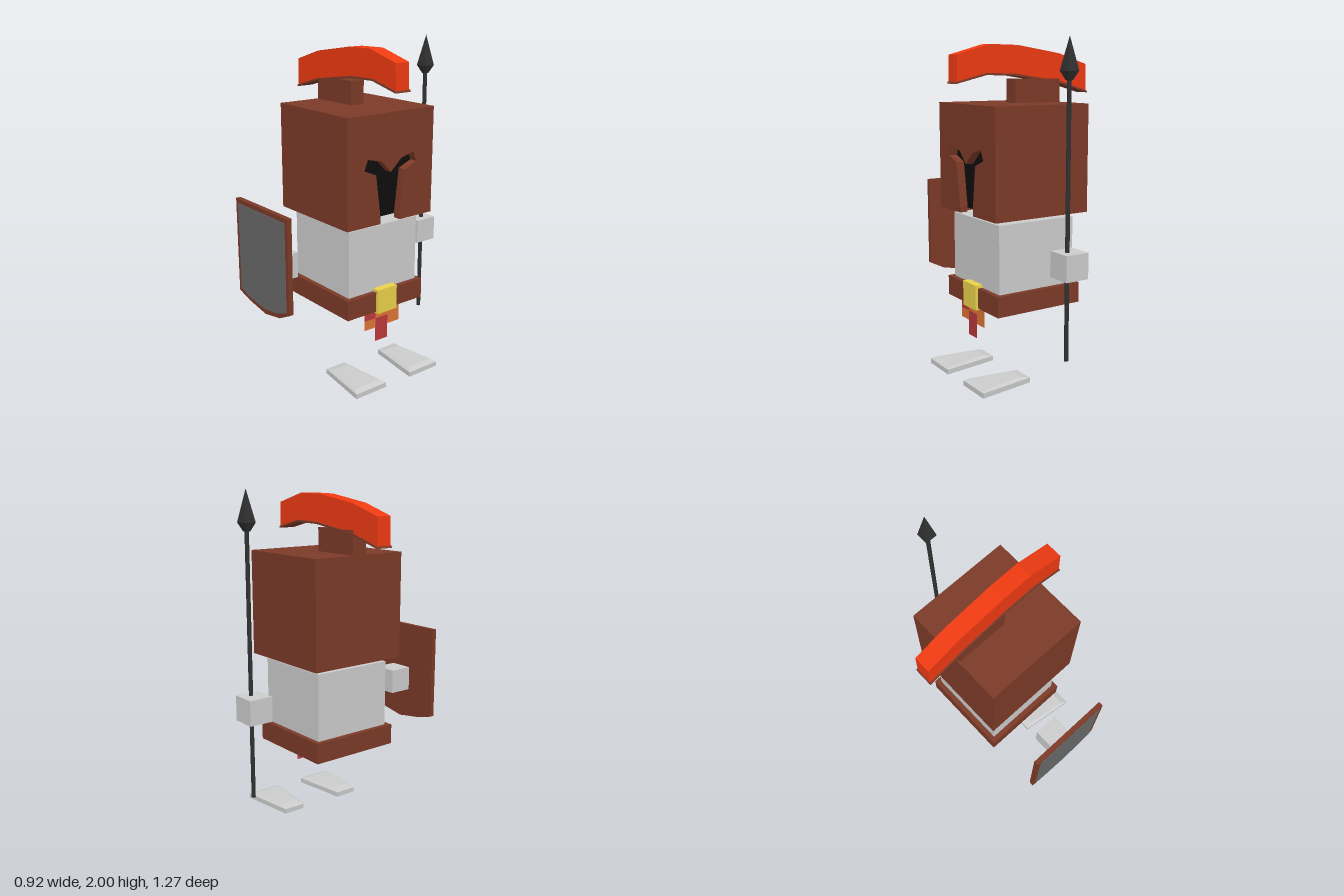
import * as THREE from 'three';

const material = (color, side = THREE.FrontSide) =>
  new THREE.MeshStandardMaterial({ color, side, flatShading: true });

const GREY = material(0xcccccc);
const BROWN = material(0x7c3a28);
const RED = material(0xee3a12);
const BLACK = material(0x0e0e0e);
const IRON = material(0x303030);
const SLATE = material(0x686868);
const YELLOW = material(0xe8d24a);
const ORANGE = material(0xde7435, THREE.DoubleSide);
const CRIMSON = material(0xba383c, THREE.DoubleSide);

export function createModel() {
  const model = new THREE.Group();
  model.name = 'spearman';

  const add = (name, geometry, mat, parent = model) => {
    const mesh = new THREE.Mesh(geometry, mat);
    mesh.name = name;
    parent.add(mesh);
    return mesh;
  };
  // Box given by its extents on each axis
  const box = (name, mat, [x0, x1], [y0, y1], [z0, z1], parent) =>
    add(name, new THREE.BoxGeometry(x1 - x0, y1 - y0, z1 - z0), mat, parent)
      .position.set((x0 + x1) / 2, (y0 + y1) / 2, (z0 + z1) / 2);
  // Flat outline given thickness along z
  const plate = (points, z0, z1) =>
    new THREE.ExtrudeGeometry(new THREE.Shape(points.map(p => new THREE.Vector2(...p))),
      { depth: z1 - z0, bevelEnabled: false }).translate(0, 0, z0);

  // Body
  box('torso', GREY, [-0.205, 0.31], [0.5, 0.965], [-0.28, 0.235]);
  box('neck', GREY, [-0.02, 0.125], [0.96, 1.02], [-0.093, 0.053]);
  box('belt', BROWN, [-0.235, 0.34], [0.44, 0.562], [-0.31, 0.265]);
  box('buckle', YELLOW, [0.305, 0.357], [0.43, 0.58], [-0.093, 0.053]);

  // Thin cloth patches hanging below the buckle, facing +x
  const cloth = new THREE.Group();
  cloth.name = 'loincloth';
  model.add(cloth);
  [
    [CRIMSON, 0.39, 0.44, 0.045, 0.13],
    [ORANGE, 0.33, 0.39, 0.045, 0.13],
    [ORANGE, 0.39, 0.44, -0.14, 0.045],
    [ORANGE, 0.33, 0.39, -0.14, -0.05],
    [CRIMSON, 0.24, 0.39, -0.05, 0.045],
  ].forEach(([mat, y0, y1, z0, z1]) => {
    const patch = add('clothPatch', new THREE.PlaneGeometry(z1 - z0, y1 - y0), mat, cloth);
    patch.rotation.y = Math.PI / 2;
    patch.position.set(0.325, (y0 + y1) / 2, (z0 + z1) / 2);
  });

  // Helmet: open-bottomed shell with a Y-shaped face opening around a dark head
  const helmet = new THREE.Group();
  helmet.name = 'helmet';
  model.add(helmet);
  const bottom = 0.995, top = 1.63, back = -0.34, front = 0.292, wall = 0.05;
  const faceX = 0.37 - wall;
  box('helmetTop', BROWN, [-0.265, faceX], [top - wall, top], [back, front], helmet);
  box('helmetBack', BROWN, [-0.265, -0.265 + wall], [bottom, top - wall], [back, front], helmet);
  box('helmetLeft', BROWN, [-0.265 + wall, faceX], [bottom, top - wall], [front - wall, front], helmet);
  box('helmetRight', BROWN, [-0.265 + wall, faceX], [bottom, top - wall], [back, back + wall], helmet);
  box('darkHead', BLACK, [-0.265 + wall, faceX - 0.005], [1.018, top - wall],
    [back + wall, front - wall], helmet);
  // Outline runs along -z, then is turned to face +x
  const faceOutline = [
    [front, bottom], [front, top], [back, top], [back, bottom],
    [-0.093, bottom], [-0.093, 1.03], [-0.123, 1.288], [-0.212, 1.325], [-0.187, 1.383],
    [-0.097, 1.36], [-0.018, 1.288], [0.05, 1.36], [0.15, 1.383], [0.174, 1.322],
    [0.09, 1.288], [0.053, 1.03], [0.053, bottom],
  ].map(([z, y]) => [-z, y]);
  add('helmetFace', plate(faceOutline, 0, wall).rotateY(Math.PI / 2), BROWN, helmet)
    .position.x = faceX;

  // Crest: post, curved red plume and its brown base strip
  box('crestPost', BROWN, [-0.257, 0.063], [top, 1.77], [-0.07, 0.025], helmet);
  const plumeTop = [[-0.455, 1.855], [-0.25, 1.918], [0.045, 1.962], [0.23, 1.965], [0.445, 1.905]];
  const plumeBase = [[-0.458, 1.695], [-0.255, 1.754], [0.07, 1.8], [0.26, 1.804], [0.45, 1.757]];
  const lowered = plumeBase.map(([x, y], i) => [x + [-0.006, 0, 0, 0, 0.006][i], y - 0.012]);
  add('crestPlume', plate([...plumeTop, ...[...plumeBase].reverse()], -0.07, 0.027), RED, helmet);
  add('crestBase', plate([...plumeBase, ...lowered.reverse()], -0.077, 0.034), BROWN, helmet);

  // Shield with an inlaid panel
  add('shield', plate([[-0.237, 1.117], [-0.237, 0.543], [-0.125, 0.512], [0.045, 0.486],
    [0.19, 0.512], [0.287, 0.56], [0.287, 1.117]], 0.605, 0.634), BROWN);
  add('shieldPanel', plate([[-0.213, 1.09], [-0.213, 0.563], [-0.115, 0.535], [0.04, 0.515],
    [0.17, 0.535], [0.262, 0.567], [0.262, 1.09]], 0.62, 0.637), SLATE);

  // Hands
  box('leftHand', GREY, [-0.043, 0.107], [0.687, 0.837], [0.447, 0.595]);
  box('rightHand', GREY, [-0.043, 0.107], [0.687, 0.837], [-0.637, -0.488]);

  // Spear with a four-sided head
  const spear = new THREE.Group();
  spear.name = 'spear';
  spear.position.set(0.052, 0, -0.57);
  model.add(spear);
  add('spearShaft', new THREE.CylinderGeometry(0.0125, 0.0125, 1.58, 8), IRON, spear).position.y = 1;
  const headProfile = [[0, 1.765], [0.02, 1.77], [0.052, 1.818], [0, 2]];
  add('spearHead', new THREE.LatheGeometry(headProfile.map(p => new THREE.Vector2(...p)), 4)
    .rotateY(Math.PI / 4), IRON, spear);

  // Feet: tapered slab with a bevelled top, narrower at the heel
  const footRings = [
    { y: 0.005, heel: 0.112, toe: 0.46, heelHalf: 0.068, toeHalf: 0.112 },
    { y: 0.03, heel: 0.112, toe: 0.46, heelHalf: 0.068, toeHalf: 0.112 },
    { y: 0.043, heel: 0.17, toe: 0.425, heelHalf: 0.055, toeHalf: 0.092 },
  ];
  footRings[0].y = 0;
  const footVertices = footRings.flatMap(r => [
    r.heel, r.y, -r.heelHalf, r.heel, r.y, r.heelHalf,
    r.toe, r.y, r.toeHalf, r.toe, r.y, -r.toeHalf,
  ]);
  const footFaces = [0, 2, 1, 0, 3, 2, 8, 9, 10, 8, 10, 11];
  for (let ring = 0; ring < 2; ring++) {
    for (let i = 0; i < 4; i++) {
      const a = ring * 4 + i, b = ring * 4 + (i + 1) % 4;
      footFaces.push(a, b, b + 4, a, b + 4, a + 4);
    }
  }
  const footGeometry = new THREE.BufferGeometry();
  footGeometry.setAttribute('position', new THREE.Float32BufferAttribute(footVertices, 3));
  footGeometry.setIndex(footFaces);
  footGeometry.computeVertexNormals();
  add('leftFoot', footGeometry, GREY).position.z = 0.184;
  add('rightFoot', footGeometry, GREY).position.z = -0.231;

  return model;
}
